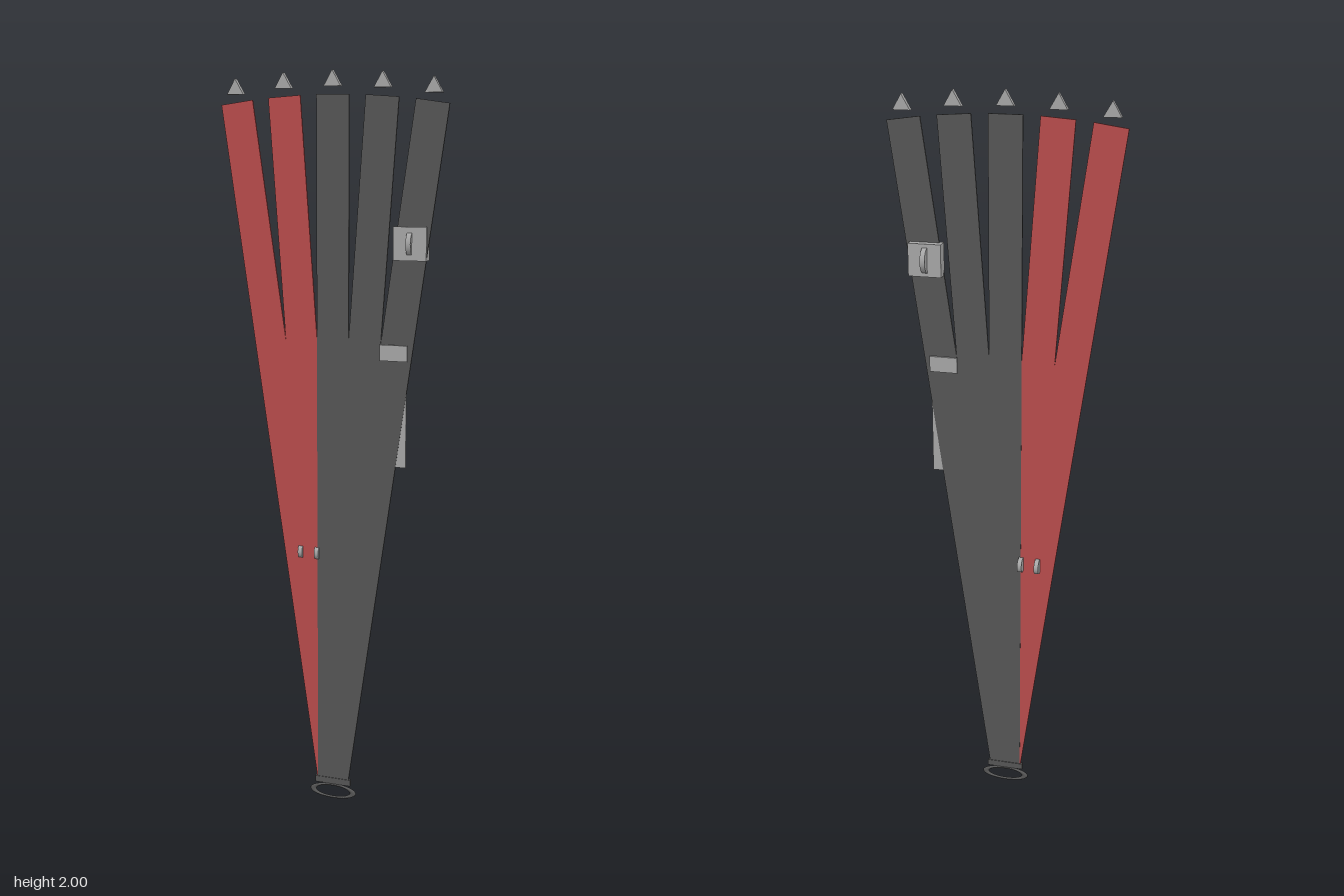
import * as THREE from 'three';

export function createModel() {
  const model = new THREE.Group();
  const material = (name, color) => {
    const m = new THREE.MeshStandardMaterial({ color });
    m.name = name;
    return m;
  };
  const red = material('red', 0xb84c4c);
  const dark = material('charcoal', 0x555555);
  const grey = material('grey', 0xa6a6a6);
  const Z = 0.0125; // plane of the fan

  const add = (name, geometry, mat, x, y, z = Z) => {
    const mesh = new THREE.Mesh(geometry, mat);
    mesh.name = name;
    mesh.position.set(x, y, z);
    model.add(mesh);
    return mesh;
  };

  // Triangular tip, extruded through the fan's thickness
  const triangle = new THREE.Shape();
  triangle.moveTo(-0.023, 0);
  triangle.lineTo(0.023, 0);
  triangle.lineTo(0, 0.04);
  triangle.closePath();
  const tipGeometry = new THREE.ExtrudeGeometry(triangle, { depth: 0.015, bevelEnabled: false });
  tipGeometry.translate(0, 0, -0.0075);

  // Five blades fanned about the base, each with a floating upright tip
  const length = 1.89, baseY = 0.05;
  for (let i = -2; i <= 2; i++) {
    const angle = THREE.MathUtils.degToRad(4 * i);
    const isRed = i < 0;
    // the charcoal blades are a hair thicker so they cover the red overlap
    const geometry = new THREE.BoxGeometry(0.088, length, isRed ? 0.0044 : 0.005);
    geometry.translate(0, length / 2, 0);
    add('blade', geometry, isRed ? red : dark, 0, baseY).rotation.z = -angle;
    const reach = length + 0.02;
    add('bladeTip', tipGeometry, grey, reach * Math.sin(angle), baseY + reach * Math.cos(angle));
  }

  // Discs standing across the fan, axis along x
  const disc = (name, radius, width, x, y, z) => {
    const geometry = new THREE.CylinderGeometry(radius, radius, width, 32);
    geometry.rotateZ(Math.PI / 2);
    add(name, geometry, grey, x, y, z);
  };

  // Upper block with its wheel, clip and thin hanging plate
  add('upperBlock', new THREE.BoxGeometry(0.088, 0.086, 0.032), grey, 0.209, 1.568, 0.004);
  disc('upperWheel', 0.035, 0.013, 0.208, 1.568, -0.001);
  add('clip', new THREE.BoxGeometry(0.075, 0.042, 0.016), grey, 0.168, 1.285);
  add('hangingPlate', new THREE.BoxGeometry(0.073, 0.3, 0.003), grey, 0.1665, 1.13);

  // Pair of small studs on the red side
  for (const x of [-0.093, -0.046]) disc('stud', 0.0205, 0.012, x, 0.722, 0.0025);

  // Collar and flattened ring at the base
  add('collar', new THREE.BoxGeometry(0.104, 0.018, 0.008), dark, 0, 0.054);
  add('baseRing', new THREE.TorusGeometry(0.059, 0.009, 10, 48), dark, 0, 0.0225).scale.set(1, 0.32, 0.5);

  return model;
}
